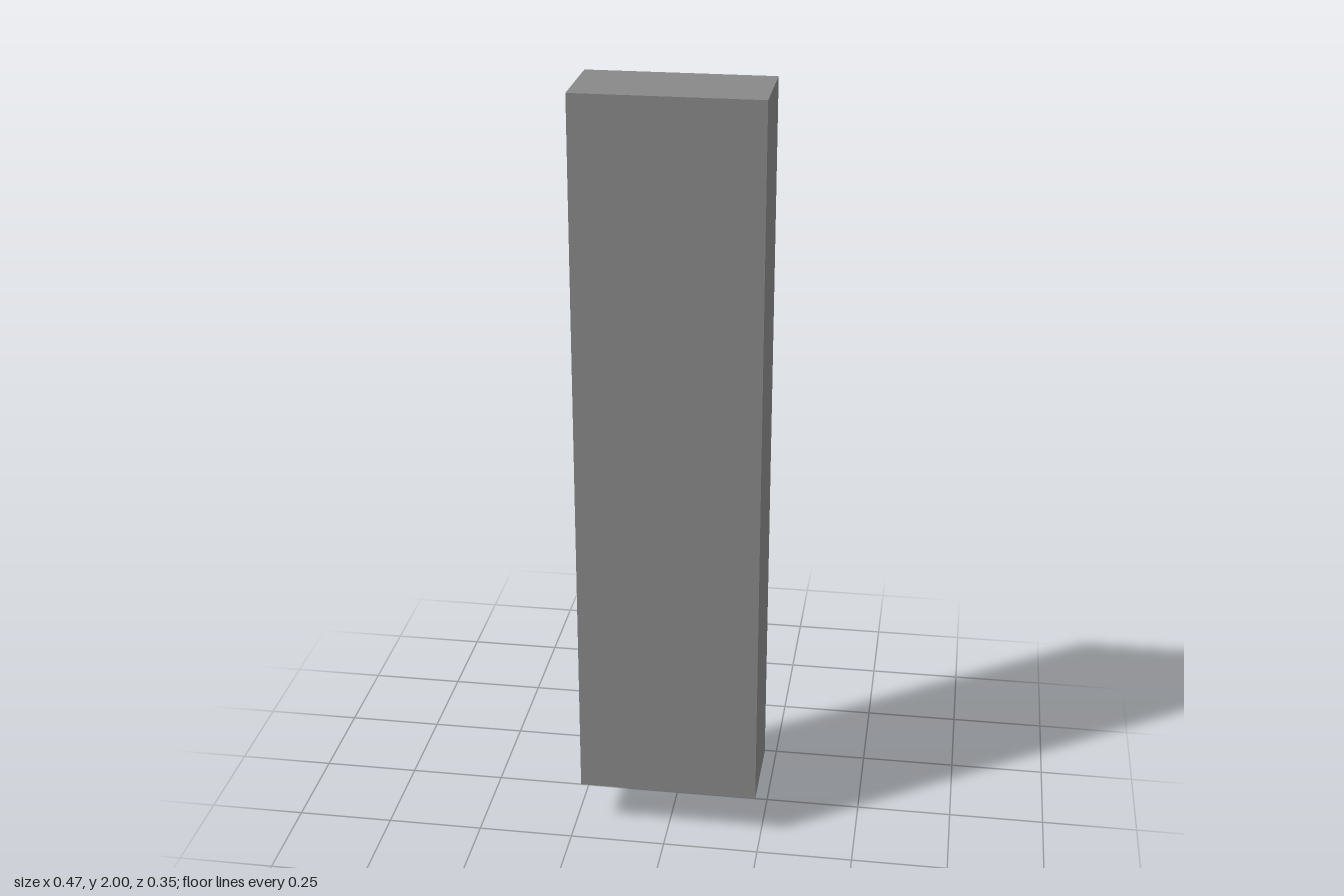
import * as THREE from 'three';

export function createModel() {
  const group = new THREE.Group();
  const material = new THREE.MeshStandardMaterial({ color: 0x888888 });
  const r = 2 / 17; // hinge radius; every other size is a multiple of it

  // Upright slab, its lower back edge on the hinge axis
  const panel = new THREE.Mesh(new THREE.BoxGeometry(4 * r, 16 * r, 2 * r), material);
  panel.name = 'panel';
  panel.position.set(0, 9 * r, r / 2);

  // Eight-sided hinge barrel lying along x
  const hinge = new THREE.Mesh(new THREE.CylinderGeometry(r, r, 2 * r, 8), material);
  hinge.name = 'hinge';
  hinge.rotation.z = Math.PI / 2;
  hinge.position.set(0, r, -r / 2);

  group.add(panel, hinge);
  return group;
}
